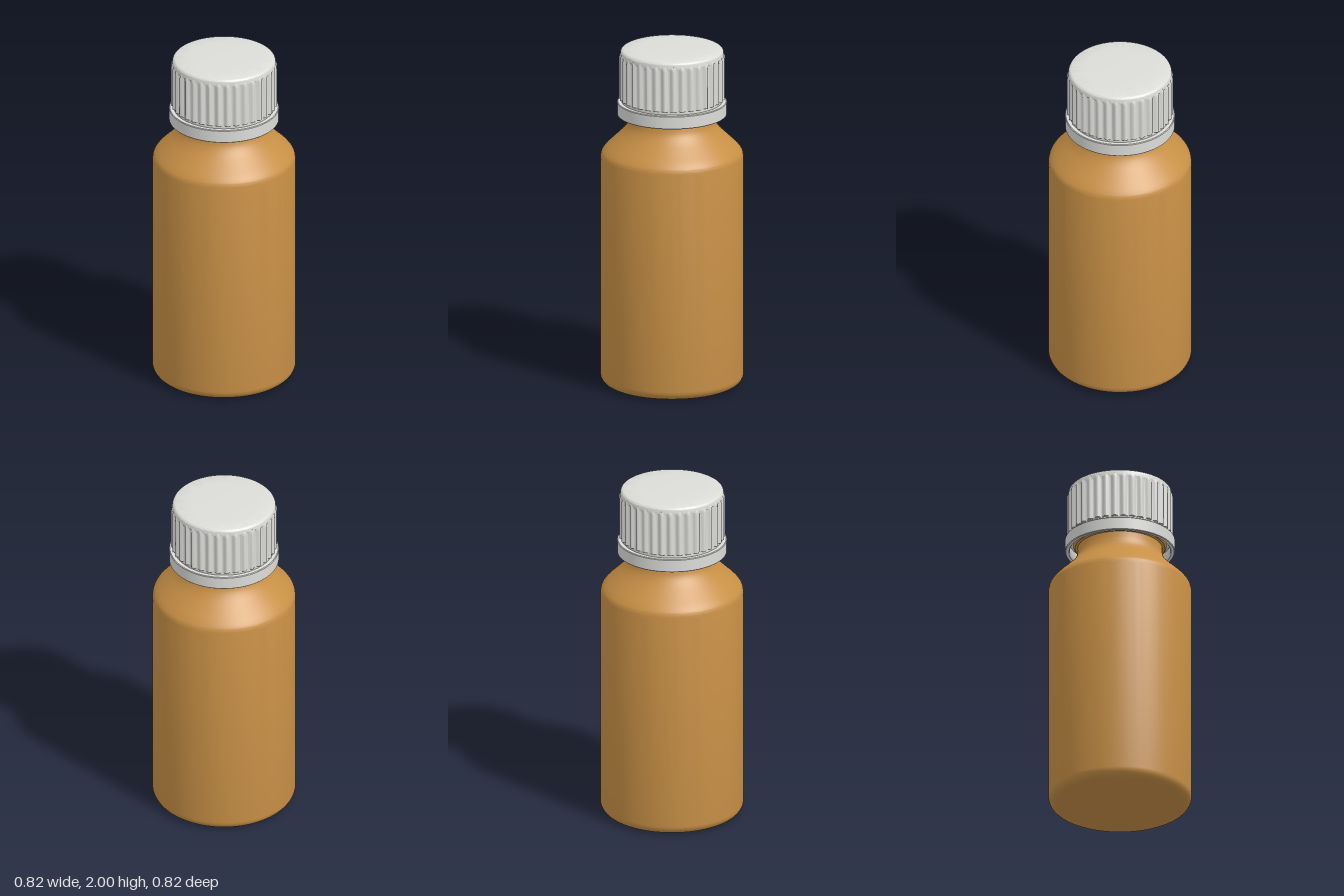
import * as THREE from 'three';
import { toCreasedNormals } from 'three/addons/utils/BufferGeometryUtils.js';

const RIBS = 36;

// Adds a quarter-round corner to a profile, from angle a0 to a1 (radians)
function arc(cx, cy, r, a0, a1, steps = 8) {
  const pts = [];
  for (let i = 0; i <= steps; i++) {
    const a = a0 + ((a1 - a0) * i) / steps;
    pts.push([cx + r * Math.cos(a), cy + r * Math.sin(a)]);
  }
  return pts;
}

function lathe(points, segments) {
  return new THREE.LatheGeometry(points.map(([x, y]) => new THREE.Vector2(x, y)), segments);
}

function part(name, geometry, material, crease = 0.7) {
  const mesh = new THREE.Mesh(toCreasedNormals(geometry, crease), material);
  mesh.name = name;
  return mesh;
}

export function createModel() {
  const amber = new THREE.MeshStandardMaterial({ color: 0xc89046 });
  amber.name = 'amber';
  const white = new THREE.MeshStandardMaterial({ color: 0xdcdcd9 });
  white.name = 'capWhite';

  const model = new THREE.Group();
  model.name = 'bottle';

  // Bottle body: rounded base, straight wall, curved shoulder and neck
  const shoulder = new THREE.CatmullRomCurve3([
    [0.412, 1.35], [0.406, 1.378], [0.386, 1.406], [0.335, 1.456], [0.283, 1.508],
    [0.256, 1.548], [0.244, 1.59],
  ].map(([x, y]) => new THREE.Vector3(x, y, 0))).getPoints(24).map((p) => [p.x, p.y]);
  model.add(part('body', lathe([
    [0, 0], [0.357, 0],
    ...arc(0.357, 0.055, 0.055, -Math.PI / 2, 0),
    ...shoulder,
    [0.243, 1.625],
  ], 96), amber));

  // Neck bead hidden behind the tamper ring
  model.add(part('neckBead', lathe([
    [0.235, 1.622], [0.258, 1.626], [0.268, 1.638], [0.268, 1.665], [0.235, 1.67],
  ], 96), amber));

  // Tamper ring, hollow underneath
  model.add(part('tamperRing', lathe([
    [0.24, 1.66], [0.288, 1.66], [0.288, 1.61], [0.294, 1.602],
    [0.311, 1.602], [0.315, 1.606], [0.315, 1.677], [0.311, 1.681], [0.27, 1.681],
  ], 128), white));

  // Narrow bridge between ring and cap
  model.add(part('bridge', lathe([[0.289, 1.675], [0.289, 1.705]], 96), white));

  // Ribbed skirt: a turned wall pushed in and out around the axis
  const skirt = lathe([
    [0.27, 1.7], [0.297, 1.7], [0.297, 1.8], [0.297, 1.94], [0.297, 1.955],
    [0.296, 1.968], [0.29, 1.97],
  ], RIBS * 12);
  const pos = skirt.attributes.position;
  for (let i = 0; i < pos.count; i++) {
    const x = pos.getX(i), y = pos.getY(i), z = pos.getZ(i);
    const r = Math.hypot(x, z);
    if (r < 0.295) continue;
    const fade = 1 - THREE.MathUtils.smoothstep(y, 1.945, 1.975);
    const k = (r + 0.008 * fade * Math.cos(RIBS * Math.atan2(x, z))) / r;
    pos.setXYZ(i, x * k, y, z * k);
  }
  model.add(part('ribbedSkirt', skirt, white));

  // Cap top: rounded rim and a very slight crown
  model.add(part('capTop', lathe([
    [0.297, 1.955],
    ...arc(0.275, 1.972, 0.022, 0, Math.PI * 0.46),
    [0.2, 1.997], [0.1, 1.999], [0, 2],
  ], 128), white));

  return model;
}
